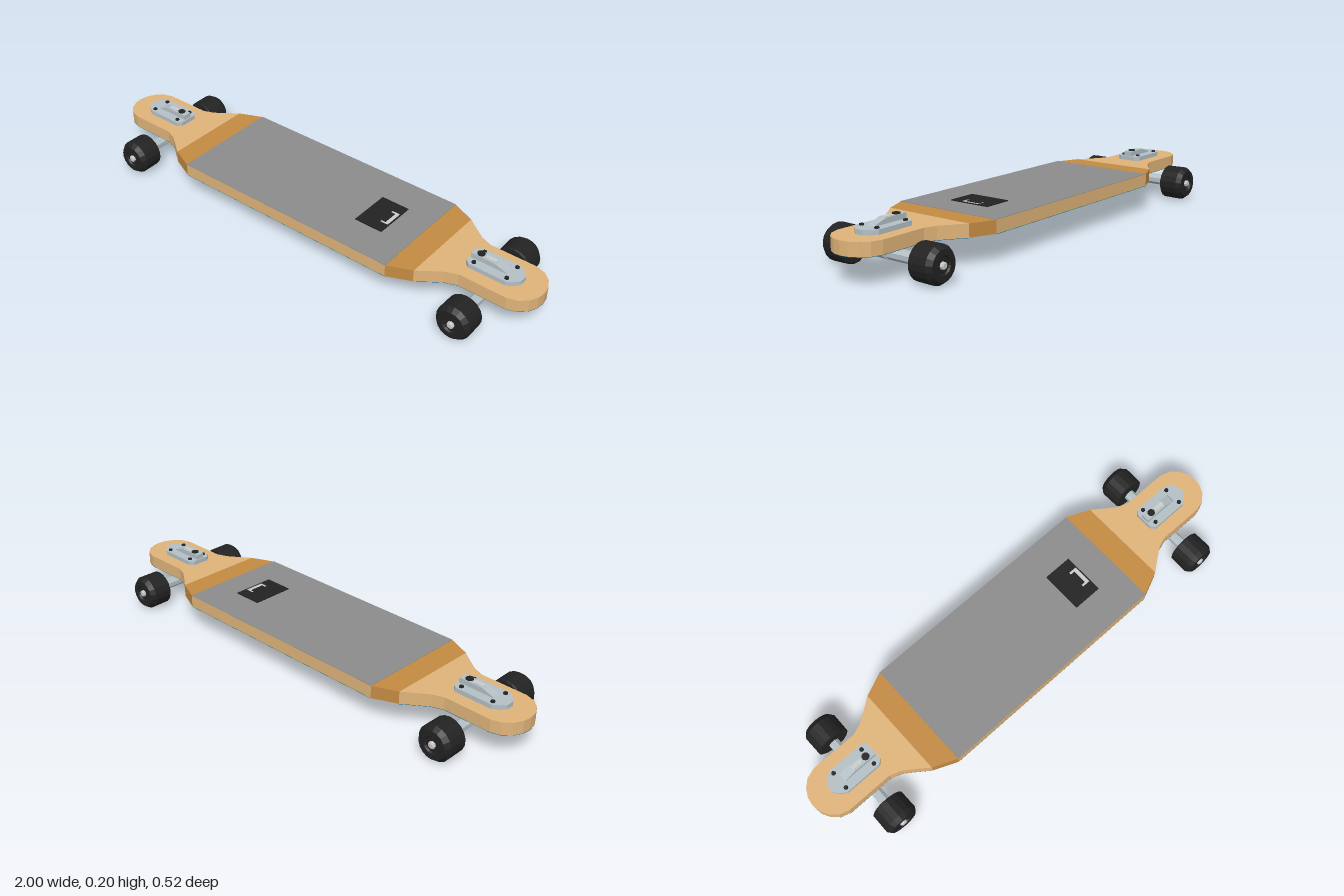
import * as THREE from 'three';

const mat = (color) => new THREE.MeshStandardMaterial({ color, flatShading: true });
const M = {
  wood: mat(0xe0b47a), band: mat(0xc48a42), grip: mat(0x8c8c8c), black: mat(0x222222),
  teal: mat(0x0b8088), blue: mat(0x0a6e9c), metal: mat(0xb4c0c6), steel: mat(0xcccccc),
};

function add(parent, name, geometry, material, x = 0, y = 0, z = 0) {
  const mesh = new THREE.Mesh(geometry, material);
  mesh.name = name;
  mesh.position.set(x, y, z);
  parent.add(mesh);
  return mesh;
}

// Plan outline in (x, z), extruded downwards from its top
function slab(points, depth, hole) {
  const shape = new THREE.Shape(points.map(([x, z]) => new THREE.Vector2(x, z)));
  if (hole) shape.holes.push(new THREE.Path(hole.map(([x, z]) => new THREE.Vector2(x, z))));
  return new THREE.ExtrudeGeometry(shape, { depth, bevelEnabled: false }).rotateX(Math.PI / 2);
}

// Side outline in (x, y), centred across z
function sideBlock(points, width) {
  const shape = new THREE.Shape(points.map(([x, y]) => new THREE.Vector2(x, y)));
  return new THREE.ExtrudeGeometry(shape, { depth: width, bevelEnabled: false }).translate(0, 0, -width / 2);
}

// Completes a half outline by mirroring it in z
const mirrorZ = (half) => [...half, ...half.filter(([, z]) => z > 0).reverse().map(([x, z]) => [x, -z])];
const rect = (x0, x1, z) => mirrorZ([[x0, z], [x1, z]]);

const TOP = 0.158, BOTTOM = 0.108, SKIN = 0.0015;

// One layered section of the deck: printed underside, core and top skin
function deckSection(parent, name, outline, top, core, under) {
  const section = new THREE.Group();
  section.name = name;
  add(section, 'core', slab(outline, TOP - BOTTOM), core, 0, TOP, 0);
  if (top !== core) add(section, 'gripSheet', slab(outline, SKIN), top, 0, TOP + SKIN, 0);
  if (under !== core) add(section, 'underside', slab(outline, SKIN), under, 0, BOTTOM, 0);
  parent.add(section);
  return section;
}

function createWheel() {
  const wheel = new THREE.Group();
  const lathe = (profile, sides) => new THREE.LatheGeometry(
    profile.map(([r, h]) => new THREE.Vector2(r, h)), sides).rotateX(Math.PI / 2);
  add(wheel, 'tyre', lathe([[0, 0.158], [0.063, 0.158], [0.069, 0.162], [0.07, 0.238], [0.056, 0.257],
    [0.034, 0.257], [0.03, 0.25], [0, 0.25]], 18), M.black);
  add(wheel, 'axleNut', lathe([[0, 0.245], [0.014, 0.245], [0.014, 0.259], [0.009, 0.262], [0, 0.262]], 8), M.steel);
  return wheel;
}

// Drop-through truck, drawn for the +x end
function createTruck() {
  const truck = new THREE.Group();
  const plate = mirrorZ([[0.705, 0.036], [0.722, 0.053], [0.875, 0.053], [0.9, 0.035], [0.915, 0.016]]);
  add(truck, 'basePlate', slab(plate, 0.018), M.metal, 0, 0.176, 0);
  add(truck, 'lowerPlate', slab(mirrorZ([[0.73, 0.053], [0.885, 0.053], [0.91, 0.03]]), 0.018,
    rect(0.75, 0.83, 0.036)), M.metal, 0, BOTTOM, 0);
  add(truck, 'ridge', sideBlock([[0.71, 0.174], [0.86, 0.174], [0.85, 0.182], [0.805, 0.196], [0.71, 0.196]], 0.034), M.metal);
  add(truck, 'ridgeInset', new THREE.BoxGeometry(0.045, 0.002, 0.018), M.steel, 0.785, 0.1965, 0);

  // Pivot arm reaching from the plate down to the axle
  add(truck, 'pivotArm', sideBlock([[0.755, 0.055], [0.805, 0.053], [0.865, 0.09], [0.865, 0.11], [0.755, 0.11]], 0.034), M.metal);
  add(truck, 'kingpin', new THREE.CylinderGeometry(0.015, 0.015, 0.012, 10), M.black, 0.742, 0.194, 0);

  for (const side of [-1, 1]) {
    for (const x of [0.735, 0.868]) {
      add(truck, 'mountingBolt', new THREE.CylinderGeometry(0.008, 0.009, 0.007, 8), M.black, x, 0.178, side * 0.036);
    }
    const wheel = createWheel();
    wheel.name = side > 0 ? 'frontWheel' : 'backWheel';
    wheel.position.set(0.79, 0.07, 0);
    if (side < 0) wheel.rotation.y = Math.PI;
    truck.add(wheel);
  }
  const hanger = new THREE.CylinderGeometry(0.0225, 0.0225, 0.33, 8).rotateY(Math.PI / 8).rotateX(Math.PI / 2);
  add(truck, 'hanger', hanger, M.metal, 0.79, 0.071, 0);
  return truck;
}

export function createModel() {
  const board = new THREE.Group();
  board.name = 'longboard';

  // Deck
  const deck = new THREE.Group();
  deck.name = 'deck';
  board.add(deck);
  deckSection(deck, 'deckMiddle', rect(-0.49, 0.49, 0.228), M.grip, M.wood, M.teal);

  const band = mirrorZ([[0.49, 0.228], [0.585, 0.187]]);
  const nose = mirrorZ([[0.585, 0.187], [0.635, 0.15], [0.675, 0.122], [0.72, 0.105], [0.91, 0.105],
    [0.95, 0.092], [0.978, 0.066], [0.995, 0.033], [1, 0]]);
  for (const end of [-1, 1]) {
    const place = end > 0 ? 'left' : 'right';
    const half = new THREE.Group();
    half.name = place + 'End';
    // Half turn gives the opposite end
    if (end < 0) half.rotation.y = Math.PI;
    deckSection(half, 'band', band, M.band, M.band, M.band);
    deckSection(half, 'nose', nose, M.wood, M.wood, M.blue);
    const truck = createTruck();
    truck.name = 'truck';
    half.add(truck);
    board.add(half);
  }

  // Dark panel with a slot set into the grip
  const pad = new THREE.Group();
  pad.name = 'panel';
  add(pad, 'panelFrame', slab(rect(0.25, 0.37, 0.087), 0.005, rect(0.33, 0.365, 0.04)), M.black, 0, 0.163, 0);
  add(pad, 'slotFloor', new THREE.BoxGeometry(0.035, 0.001, 0.08), M.steel, 0.3475, 0.1602, 0);
  add(pad, 'slotBar', new THREE.BoxGeometry(0.018, 0.003, 0.06), M.black, 0.339, 0.1615, 0);
  board.add(pad);

  return board;
}
